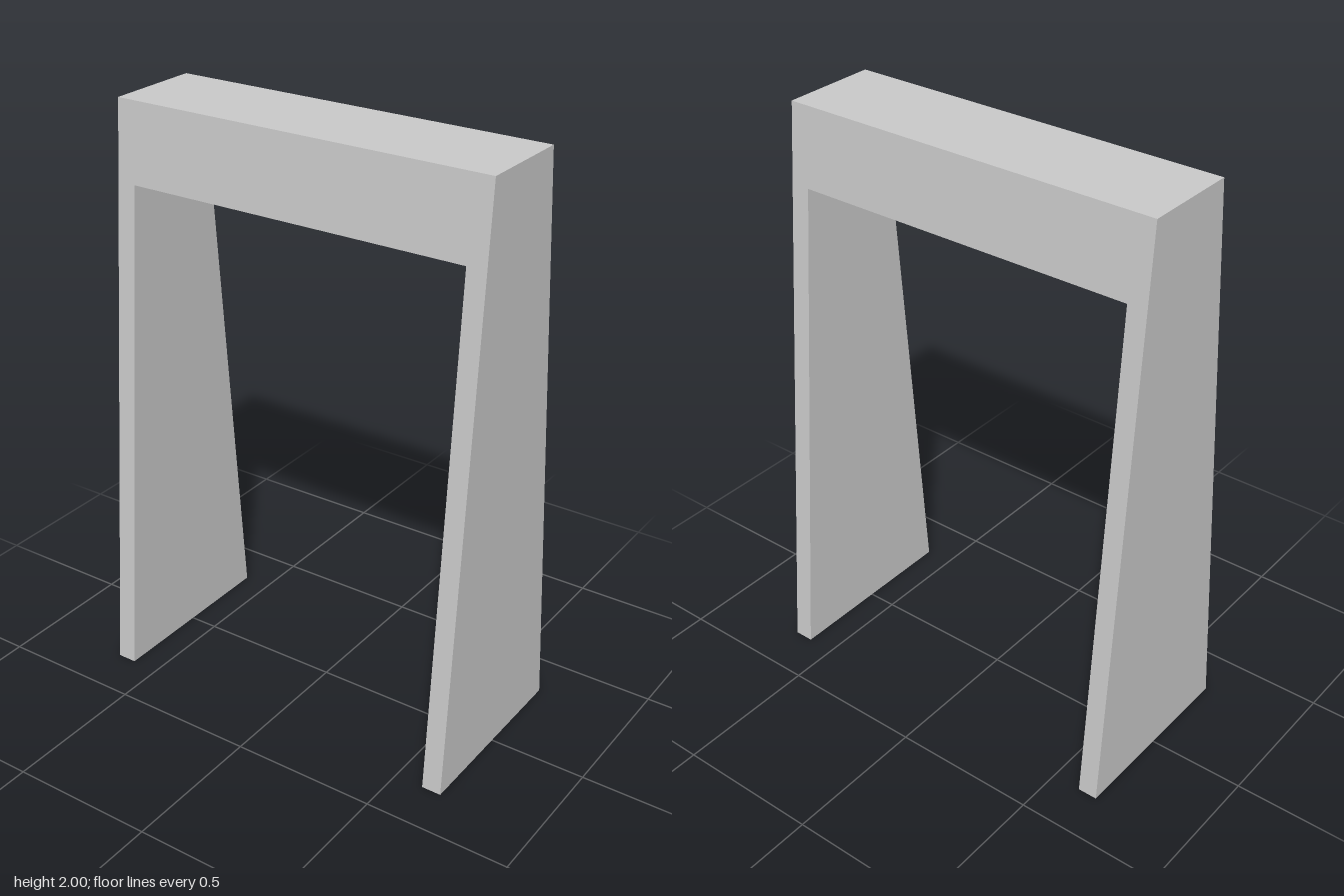
import * as THREE from 'three';

const HEIGHT = 2, HALF_WIDTH = 0.667, HALF_OPENING = 0.6, BEAM_BOTTOM = 1.733;
const BASE_HALF_DEPTH = 0.333, TOP_HALF_DEPTH = 0.167;

export function createModel() {
  const group = new THREE.Group();
  group.name = 'archway';

  // Front outline: two thin legs joined by a beam
  const outline = new THREE.Shape([
    [-HALF_WIDTH, 0], [-HALF_OPENING, 0],
    [-HALF_OPENING, BEAM_BOTTOM], [HALF_OPENING, BEAM_BOTTOM],
    [HALF_OPENING, 0], [HALF_WIDTH, 0],
    [HALF_WIDTH, HEIGHT], [-HALF_WIDTH, HEIGHT],
  ].map(([x, y]) => new THREE.Vector2(x, y)));

  const geometry = new THREE.ExtrudeGeometry(outline, { depth: 2, bevelEnabled: false });
  geometry.translate(0, 0, -1);

  // Taper the depth from the wide feet to the narrow top
  const position = geometry.attributes.position;
  for (let i = 0; i < position.count; i++) {
    const halfDepth = THREE.MathUtils.lerp(BASE_HALF_DEPTH, TOP_HALF_DEPTH, position.getY(i) / HEIGHT);
    position.setZ(i, position.getZ(i) * halfDepth);
  }
  geometry.computeVertexNormals();

  const frame = new THREE.Mesh(
    geometry,
    new THREE.MeshStandardMaterial({ color: 0xcccccc, flatShading: true }),
  );
  frame.name = 'taperedFrame';
  group.add(frame);
  return group;
}
